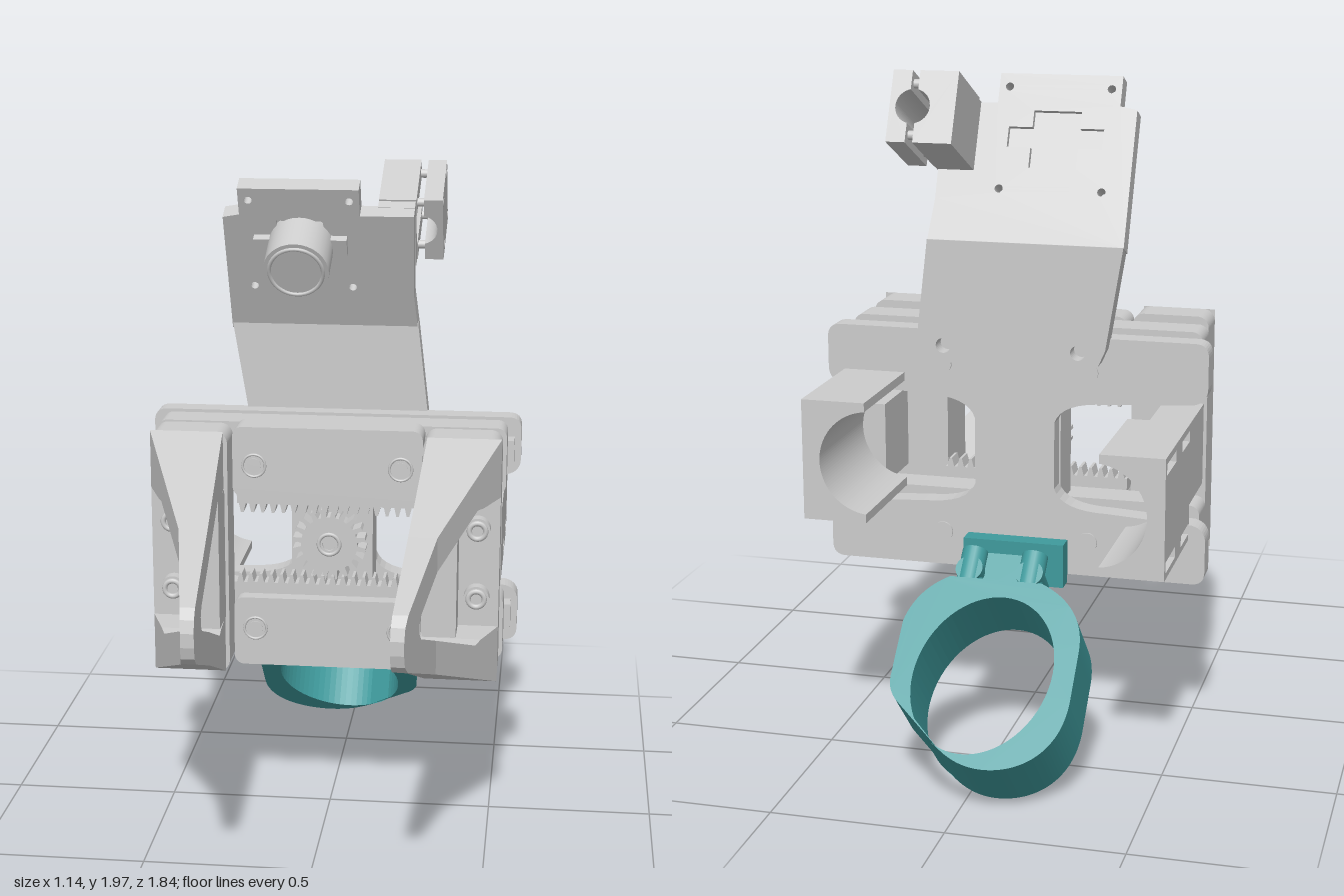
import * as THREE from 'three';

const grey = new THREE.MeshStandardMaterial({ color: 0xcccccc, side: THREE.DoubleSide });
const teal = new THREE.MeshStandardMaterial({ color: 0x3f9a9c, side: THREE.DoubleSide });
const MID = 0.875; // height of the drive gear; the gripper is symmetric about it

function add(parent, name, geo, mat = grey) {
  const m = new THREE.Mesh(geo, mat);
  m.name = name;
  parent.add(m);
  return m;
}
// Box given by its limits on each axis
function box(parent, name, [x0, x1], [y0, y1], [z0, z1], mat) {
  const g = new THREE.BoxGeometry(x1 - x0, y1 - y0, z1 - z0);
  return add(parent, name, g.translate((x0 + x1) / 2, (y0 + y1) / 2, (z0 + z1) / 2), mat);
}
// Cylinder along z
function rod(parent, name, x, y, z0, z1, r, mat) {
  const g = new THREE.CylinderGeometry(r, r, z1 - z0, 32).rotateX(Math.PI / 2);
  return add(parent, name, g.translate(x, y, (z0 + z1) / 2), mat);
}
const poly = (pts) => new THREE.Shape(pts.map(([x, y]) => new THREE.Vector2(x, y)));
const slab = (shape, z0, z1, curveSegments = 16) =>
  new THREE.ExtrudeGeometry(shape, { depth: z1 - z0, bevelEnabled: false, curveSegments }).translate(0, 0, z0);
const circle = (x, y, r) => new THREE.Path().absarc(x, y, r, 0, Math.PI * 2);
const rectPts = (x0, x1, y0, y1) => [[x0, y0], [x1, y0], [x1, y1], [x0, y1]];
function roundRect(x0, x1, y0, y1, r) {
  const s = new THREE.Shape();
  s.absarc(x1 - r, y1 - r, r, 0, Math.PI / 2);
  s.absarc(x0 + r, y1 - r, r, Math.PI / 2, Math.PI);
  s.absarc(x0 + r, y0 + r, r, Math.PI, Math.PI * 1.5);
  s.absarc(x1 - r, y0 + r, r, Math.PI * 1.5, Math.PI * 2);
  return s;
}

// Side profile (z, y) of a finger, its thickness tapering towards the tip
function fingerPiece(parent, name, pts) {
  const g = slab(poly(pts), 0, 1).rotateY(-Math.PI / 2);
  const p = g.attributes.position;
  for (let i = 0; i < p.count; i++) {
    const z = p.getZ(i);
    const outer = z < 0.57 ? 0.52 - (z - 0.15) * 0.38 : 0.36 - (z - 0.57) * 0.18;
    const inner = 0.305 - (z - 0.1) * 0.055;
    p.setX(i, outer + p.getX(i) * (outer - inner));
  }
  g.computeVertexNormals();
  add(parent, name, g);
}

function finger() {
  const g = new THREE.Group();
  g.name = 'finger';
  add(g, 'fingerBase', slab(roundRect(0.29, 0.52, -0.375, 0.375, 0.035), 0.04, 0.15));
  const arm = [[0.15, 0.375], [0.57, 0.2], [0.57, 0.1], [0.31, 0.205], [0.27, 0.2], [0.15, 0.2]];
  fingerPiece(g, 'fingerUpperArm', arm);
  fingerPiece(g, 'fingerLowerArm', arm.map(([z, y]) => [z, -y]));
  const half = [[0.57, 0.2], [0.88, 0.08], [0.91, 0.055], [0.92, 0.02]];
  const hole = [[0.57, 0.1], [0.74, 0.035], [0.76, 0.012]];
  const flip = (a) => a.map(([z, y]) => [z, -y]).reverse();
  fingerPiece(g, 'fingerTip', [...half, ...flip(half), ...flip(hole).reverse(), ...hole.slice().reverse()]);
  box(g, 'fingerInnerWall', [0.3, 0.4], [-0.2, 0.2], [0.15, 0.265]);
  for (const y of [-0.105, 0.105]) {
    rod(g, 'fingerBolt', 0.455, y, 0.14, 0.185, 0.038);
    add(g, 'boltRim', new THREE.TorusGeometry(0.024, 0.008, 8, 24).translate(0.455, y, 0.187));
  }
  // Toothed rack that rides with this finger
  const pts = [[0.29, 0.165], [-0.28, 0.165], [-0.28, 0.125]];
  for (let i = 0; i < 18; i++) {
    const x = -0.28 + i * 0.0315;
    pts.push([x + 0.006, 0.125], [x + 0.012, 0.098], [x + 0.02, 0.098], [x + 0.027, 0.125]);
  }
  pts.push([0.29, 0.125]);
  add(g, 'rack', slab(poly(pts), -0.02, 0.04));
  return g;
}

// Motor cradle: slotted outer wall and a saddle with a round bore
function cradle() {
  const g = new THREE.Group();
  g.name = 'motorCradle';
  const wall = poly(rectPts(-0.62, -0.24, -0.125, 0.225));
  for (const [z0, z1] of [[-0.37, -0.25], [-0.6, -0.46]])
    for (const y of [-0.105, 0.175]) wall.holes.push(poly(rectPts(z0, z1, y, y + 0.032)));
  add(g, 'cradleWall', slab(wall, -0.52, -0.475).rotateY(-Math.PI / 2));
  const s = new THREE.Shape();
  s.moveTo(0.475, -0.125);
  s.lineTo(0.475, 0.225);
  s.lineTo(0.335, 0.225);
  s.lineTo(0.335, 0.2);
  s.absarc(0.32, 0.05, 0.15, Math.PI / 2 - 0.1, -Math.PI / 2 + 0.1, true);
  s.lineTo(0.335, -0.125);
  add(g, 'cradleSaddle', slab(s, -0.62, -0.24, 32));
  box(g, 'cradleNeck', [0.4, 0.52], [-0.125, 0.12], [-0.24, -0.02]);
  return g;
}

function body() {
  const g = new THREE.Group();
  g.name = 'gripperBody';
  g.position.y = MID;
  for (const turn of [0, Math.PI]) {
    const side = new THREE.Group();
    side.name = 'gripperSide';
    side.rotation.z = turn;
    side.add(finger(), cradle());
    // Guide rails
    add(side, 'frontRail', slab(roundRect(-0.285, 0.285, 0.16, 0.375, 0.03), -0.02, 0.085));
    add(side, 'slideRail', slab(roundRect(-0.53, 0.53, 0.16, 0.365, 0.03), -0.125, -0.02));
    box(side, 'railSpacer', [-0.55, 0.55], [0.225, 0.3], [-0.185, -0.125]);
    for (const x of [-0.22, 0.22]) {
      rod(side, 'railScrew', x, 0.257, 0.08, 0.089, 0.022);
      add(side, 'screwRim', new THREE.TorusGeometry(0.034, 0.004, 6, 28).translate(x, 0.257, 0.086));
      rod(side, 'rearScrew', x, 0.257, -0.256, -0.24, 0.03);
    }
    g.add(side);
  }
  // Back frame: two arms joined by a flared column
  const s = new THREE.Shape();
  s.moveTo(0.12, -0.1);
  s.lineTo(0.12, 0.1);
  s.quadraticCurveTo(0.14, 0.165, 0.28, 0.165);
  s.lineTo(0.53, 0.18);
  s.quadraticCurveTo(0.57, 0.19, 0.57, 0.23);
  s.lineTo(0.57, 0.32);
  s.quadraticCurveTo(0.57, 0.36, 0.53, 0.36);
  const quarter = s.getPoints(8).map((p) => [p.x, p.y]).slice(1);
  const right = [...quarter.map(([x, y]) => [x, -y]).reverse(), ...quarter];
  const outline = [...right, ...right.map(([x, y]) => [-x, y]).reverse()];
  add(g, 'backFrame', slab(poly(outline), -0.25, -0.183));
  box(g, 'centreColumn', [-0.125, 0.125], [-0.17, 0.17], [-0.19, -0.06]);
  // Drive gear
  const teeth = [];
  for (let i = 0; i < 20; i++)
    [[0, 0.086], [0.28, 0.086], [0.42, 0.112], [0.72, 0.112], [0.9, 0.086]].forEach(([f, r]) => {
      const a = ((i + f) / 20) * Math.PI * 2;
      teeth.push([r * Math.cos(a), r * Math.sin(a)]);
    });
  const gear = poly(teeth);
  gear.holes.push(circle(0, 0, 0.02));
  add(g, 'driveGear', slab(gear, -0.03, 0.03));
  add(g, 'gearHub', new THREE.TorusGeometry(0.032, 0.006, 8, 32).translate(0, 0, 0.03));
  rod(g, 'gearShaft', 0, 0, -0.07, 0.02, 0.03);
  return g;
}

function cameraMount() {
  const g = new THREE.Group();
  g.name = 'cameraMount';
  const low = poly([[-0.33, 1.51], [-0.28, 1.21], [-0.26, 1.165], [-0.22, 1.15], [0.22, 1.15], [0.26, 1.165], [0.28, 1.21], [0.245, 1.51]]);
  for (const x of [-0.2, 0.2]) low.holes.push(circle(x, 1.2, 0.022));
  add(g, 'mountPlate', slab(low, -0.3, -0.238));
  // Tilted head
  const head = new THREE.Group();
  head.name = 'cameraHead';
  head.position.set(0, 1.5, -0.268);
  head.rotation.x = THREE.MathUtils.degToRad(25);
  const plate = poly([[-0.33, -0.005], [0.245, -0.005], [0.235, 0.12], [0.24, 0.41], [0.08, 0.41], [0.08, 0.5], [-0.28, 0.5], [-0.28, 0.41], [-0.33, 0.4]]);
  for (const x of [-0.25, 0.05]) for (const y of [0.155, 0.46]) plate.holes.push(circle(x, y, 0.012));
  plate.holes.push(poly([[-0.24, 0.28], [-0.17, 0.28], [-0.17, 0.22], [-0.03, 0.22], [-0.03, 0.28], [0.04, 0.28], [0.04, 0.34], [-0.03, 0.34], [-0.03, 0.39], [-0.17, 0.39], [-0.17, 0.34], [-0.24, 0.34]]));
  add(head, 'headPlate', slab(plate, -0.03, 0.027));
  box(head, 'cameraBoard', [-0.245, 0.045], [0.215, 0.395], [-0.012, 0.012]);
  for (const x of [-0.215, 0.015]) box(head, 'cameraTab', [x - 0.025, x + 0.025], [0.282, 0.338], [0, 0.05]);
  rod(head, 'lensBarrel', -0.1, 0.304, 0, 0.167, 0.098);
  add(head, 'lensRim', new THREE.TorusGeometry(0.08, 0.006, 8, 40).translate(-0.1, 0.304, 0.167));
  // Two-part clamp around a round bore
  const c = 0.311;
  for (const [x0, x1, dir] of [[0.13, 0.242, -1], [0.32, 0.264, 1]]) {
    const r = 0.05, dy = Math.sqrt(r * r - 0.011 * 0.011), a = Math.atan2(dy, dir * 0.011);
    const s = new THREE.Shape();
    s.moveTo(x0, c + 0.105);
    s.lineTo(x0, c - 0.105);
    s.lineTo(x1, c - 0.105);
    s.lineTo(x1, c - dy);
    s.absarc(0.253, c, r, -a, a, dir < 0);
    s.lineTo(x1, c + 0.105);
    add(head, 'clampJaw', slab(s, -0.28, -0.055));
  }
  box(head, 'clampFoot', [0.13, 0.24], [c - 0.105, c + 0.1], [-0.06, -0.02]);
  for (const y of [c - 0.075, c + 0.075])
    for (const z of [-0.25, -0.09])
      add(head, 'clampScrew', new THREE.CylinderGeometry(0.013, 0.013, 0.14, 16).rotateZ(Math.PI / 2).translate(0.252, y, z));
  g.add(head);
  return g;
}

function strapRing() {
  const g = new THREE.Group();
  g.name = 'ringMount';
  box(g, 'ringBracket', [-0.17, 0.13], [0.505, 0.635], [-0.345, -0.29], teal);
  box(g, 'bracketSpacer', [-0.1, 0.1], [0.53, 0.61], [-0.3, -0.24], teal);
  const ring = new THREE.Group();
  ring.name = 'tiltedRing';
  ring.position.set(0, 0.495, -0.435);
  ring.rotation.x = Math.PI / 4;
  // Rounded band with flattened sides
  const s = new THREE.Shape();
  s.moveTo(0.12, 0);
  s.lineTo(-0.15, 0);
  s.quadraticCurveTo(-0.29, -0.06, -0.29, -0.2);
  s.lineTo(-0.29, -0.34);
  s.bezierCurveTo(-0.29, -0.5, -0.18, -0.565, -0.08, -0.565);
  s.quadraticCurveTo(-0.01, -0.565, 0.05, -0.52);
  s.lineTo(0.2, -0.39);
  s.quadraticCurveTo(0.23, -0.36, 0.23, -0.32);
  s.lineTo(0.23, -0.15);
  s.quadraticCurveTo(0.21, -0.05, 0.12, 0);
  s.holes.push(new THREE.Path().absellipse(-0.03, -0.29, 0.195, 0.24, 0, Math.PI * 2, false, 0.25));
  add(ring, 'ringBand', slab(s, -0.115, 0.105, 32), teal);
  // Hinge neck and lugs
  box(ring, 'hingeNeck', [-0.1, 0.1], [-0.03, 0.13], [-0.015, 0.055], teal);
  for (const x of [-0.09, 0.09]) {
    add(ring, 'hingeLug', new THREE.CylinderGeometry(0.038, 0.038, 0.18, 24).translate(x, 0.04, -0.02), teal);
    rod(ring, 'hingeBoss', x, 0.06, -0.05, 0.06, 0.04, teal);
  }
  g.add(ring);
  return g;
}

export function createModel() {
  const model = new THREE.Group();
  model.name = 'gripper';
  model.add(body(), cameraMount(), strapRing());
  return model;
}
